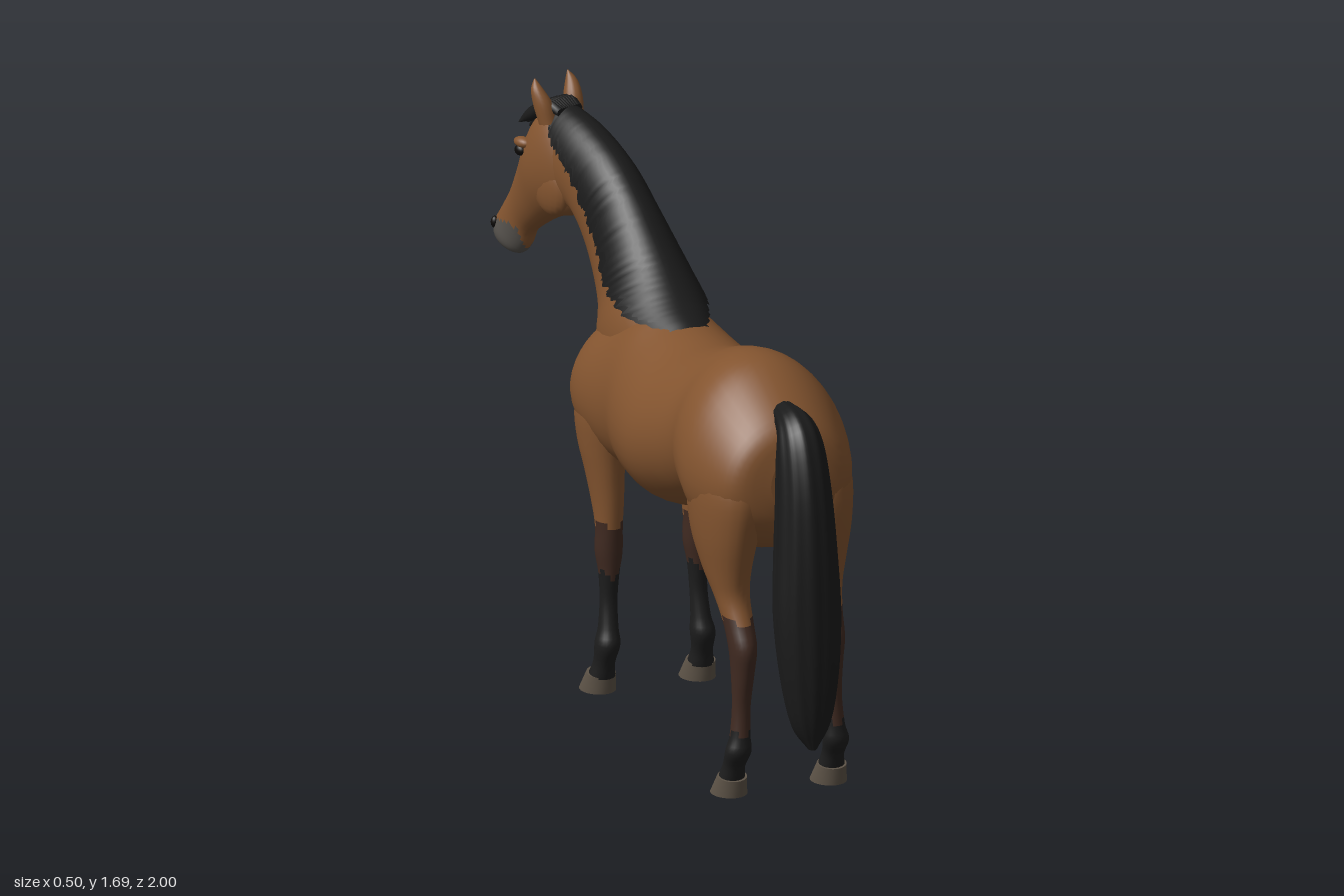
import * as THREE from 'three';

const mat = (name, color, side = THREE.FrontSide) => {
  const m = new THREE.MeshStandardMaterial({ color, side });
  m.name = name;
  return m;
};

// Smooth loft through sections [z1, y1, z2, y2, halfWidth, centreX].
// (z1,y1) and (z2,y2) are the two ends of an ellipse axis; the other axis lies along x.
function loft(name, sections, mats, o = {}) {
  const { seg = 24, steps = 4, egg = 0, ridge = 0, ridges = 11, offset = 0, span = null, paint = () => 0 } = o;
  const a = new THREE.CatmullRomCurve3(sections.map(s => new THREE.Vector3(s[5] || 0, s[1], s[0])), false, 'catmullrom');
  const b = new THREE.CatmullRomCurve3(sections.map(s => new THREE.Vector3(s[4], s[3], s[2])), false, 'catmullrom');
  const rows = (sections.length - 1) * steps, cols = span ? seg + 1 : seg;
  const pos = [], lists = mats.map(() => []), centres = [];
  for (let i = 0; i <= rows; i++) {
    const p = a.getPoint(i / rows), q = b.getPoint(i / rows);
    const c = new THREE.Vector3(p.x, (p.y + q.y) / 2, (p.z + q.z) / 2);
    const ay = (p.y - q.y) / 2, az = (p.z - q.z) / 2, len = Math.hypot(ay, az) || 1;
    const w = Math.max(q.x, 0.001);
    centres.push({ c, ay, az });
    for (let j = 0; j < cols; j++) {
      const t = span ? Math.PI / 2 + (j / seg * 2 - 1) * span(i / rows, i, j > seg / 2) : j / seg * Math.PI * 2;
      const r = 1 + ridge * Math.cos(t * ridges), s = Math.sin(t) * r, k = Math.cos(t) * r;
      const h = s * (1 + offset / len);
      pos.push(c.x + (w + offset) * k * (1 - egg * s), c.y + ay * h, c.z + az * h);
    }
  }
  // Pick the winding so faces point outwards
  const m = Math.floor(rows / 2), A = centres[m], P = centres[m + 1] || centres[m];
  const Q = centres[Math.max(m - 1, 0)];
  const flip = -A.az * (P.c.y - Q.c.y) + A.ay * (P.c.z - Q.c.z) < 0;
  const tri = (l, x, y, z) => flip ? l.push(x, z, y) : l.push(x, y, z);
  for (let i = 0; i < rows; i++) for (let j = 0; j < seg; j++) {
    const p = i * cols + j, q = i * cols + (span ? j + 1 : (j + 1) % seg), d = p + cols, e = q + cols;
    const mid = n => (pos[p * 3 + n] + pos[e * 3 + n]) / 2;
    const l = lists[paint(mid(0), mid(1), mid(2), (j + 0.5) / seg * Math.PI * 2)];
    tri(l, p, q, d);
    tri(l, q, e, d);
  }
  // Flat end caps
  if (!span) for (const i of [0, rows]) {
    const { c } = centres[i], base = pos.length / 3;
    pos.push(c.x, c.y, c.z);
    for (let j = 0; j < seg; j++) pos.push(...pos.slice((i * cols + j) * 3, (i * cols + j) * 3 + 3));
    const l = lists[paint(c.x, c.y, c.z, 0)];
    for (let j = 0; j < seg; j++) {
      const x = base + 1 + j, y = base + 1 + (j + 1) % seg;
      i ? tri(l, base, x, y) : tri(l, base, y, x);
    }
  }
  const g = new THREE.BufferGeometry();
  g.setAttribute('position', new THREE.Float32BufferAttribute(pos, 3));
  g.setIndex(lists.flat());
  let start = 0;
  lists.forEach((l, n) => { if (l.length) g.addGroup(start, l.length, n); start += l.length; });
  g.computeVertexNormals();
  const mesh = new THREE.Mesh(g, mats.length > 1 ? mats : mats[0]);
  mesh.name = name;
  return mesh;
}

function blob(name, material, x, y, z, sx, sy, sz) {
  const m = new THREE.Mesh(new THREE.SphereGeometry(1, 18, 12), material);
  m.name = name;
  m.position.set(x, y, z);
  m.scale.set(sx, sy, sz);
  return m;
}

export function createModel() {
  const coat = mat('bay coat', 0x83542f), dark = mat('dark brown', 0x402a21), black = mat('black points', 0x1d1d1d);
  const hair = mat('black hair', 0x1a1a1a, THREE.DoubleSide), horn = mat('hoof horn', 0x5d5347);
  const grey = mat('muzzle grey', 0x55514c), eye = mat('eye', 0x0d0a08);
  const horse = new THREE.Group();
  horse.name = 'horse';
  let seed = 7;
  const rand = () => (seed = (seed * 16807) % 2147483647) / 2147483647;

  // Barrel, rump and chest
  horse.add(loft('body', [
    [0.812, 1.03, 0.812, 0.87, 0.07], [0.79, 1.10, 0.79, 0.80, 0.165], [0.72, 1.165, 0.72, 0.73, 0.215],
    [0.6, 1.235, 0.6, 0.70, 0.248], [0.5, 1.25, 0.5, 0.74, 0.24], [0.4, 1.23, 0.4, 0.755, 0.215],
    [0.3, 1.195, 0.3, 0.72, 0.232], [0.15, 1.16, 0.15, 0.675, 0.248], [0, 1.17, 0, 0.665, 0.233],
    [-0.12, 1.19, -0.12, 0.67, 0.21], [-0.22, 1.16, -0.22, 0.67, 0.213], [-0.32, 1.13, -0.32, 0.69, 0.218],
    [-0.4, 1.08, -0.4, 0.73, 0.195], [-0.455, 1.0, -0.455, 0.79, 0.135], [-0.475, 0.95, -0.475, 0.86, 0.06],
  ], [coat], { seg: 40, egg: 0.1 }));
  horse.add(blob('groin', black, 0, 0.755, 0.5, 0.035, 0.03, 0.07));

  // Neck, bending towards the right
  const neck = [
    [0.02, 1.16, -0.38, 0.78, 0.14, 0], [-0.1, 1.215, -0.46, 0.93, 0.148, 0], [-0.22, 1.30, -0.485, 1.04, 0.12, 0],
    [-0.35, 1.42, -0.535, 1.14, 0.095, -0.015], [-0.47, 1.51, -0.58, 1.23, 0.085, -0.032],
    [-0.6, 1.57, -0.62, 1.30, 0.078, -0.055], [-0.7, 1.595, -0.68, 1.33, 0.07, -0.075], [-0.745, 1.6, -0.73, 1.42, 0.05, -0.085],
  ];
  horse.add(loft('neck', neck, [coat], { seg: 32 }));

  // Mane: ragged sheets lying over the crest and both sides of the neck
  const fall = [25, 58, 80, 84, 82, 78, 60, 40];
  const maneSpan = rough => u => {
    const f = Math.min(u * 7, 6.999), i = Math.floor(f);
    return THREE.MathUtils.degToRad(THREE.MathUtils.lerp(fall[i], fall[i + 1], f - i)) * rough();
  };
  for (const [offset, low, high] of [[0.012, 0.86, 1.0], [0.02, 0.7, 0.95]]) {
    const jag = Array.from({ length: 100 }, () => low + (high - low) * rand());
    const smooth = maneSpan(() => 1);
    horse.add(loft('mane', neck, [hair], {
      seg: 20, steps: 12, offset, span: (u, i, left) => smooth(u) * jag[left ? i : 99 - i],
    }));
  }

  // Head, built facing forward and turned at the poll
  const head = new THREE.Group();
  head.name = 'head';
  head.position.set(-0.07, 0, -0.68);
  head.rotation.y = 0.32;
  horse.add(head);
  const hz = z => (z + 0.68) / 0.95;
  const local = list => list.map(([a, b, c, d, w, x]) => [hz(a), b, hz(c), d, w, x]);
  head.add(loft('skull', local([
    [-0.68, 1.58, -0.63, 1.38, 0.045], [-0.74, 1.61, -0.635, 1.325, 0.072], [-0.80, 1.58, -0.675, 1.295, 0.085],
    [-0.845, 1.51, -0.735, 1.275, 0.083], [-0.88, 1.42, -0.80, 1.235, 0.065], [-0.925, 1.32, -0.85, 1.195, 0.05],
    [-0.968, 1.25, -0.87, 1.15, 0.047], [-0.992, 1.21, -0.90, 1.12, 0.048], [-0.998, 1.18, -0.94, 1.125, 0.034],
    [-0.99, 1.165, -0.96, 1.145, 0.012],
  ]), [coat, grey], { seg: 28, paint: (x, y, z) => y < 1.215 && z < hz(-0.875) ? 1 : 0 }));
  for (const s of [-1, 1]) {
    head.add(blob('eye', eye, s * 0.068, 1.462, hz(-0.833), 0.012, 0.016, 0.019));
    head.add(blob('browRidge', coat, s * 0.06, 1.485, hz(-0.83), 0.02, 0.016, 0.032));
    head.add(blob('cheek', coat, s * 0.052, 1.375, hz(-0.72), 0.03, 0.08, 0.075));
    head.add(blob('nostril', eye, s * 0.034, 1.2, hz(-0.975), 0.012, 0.018, 0.012));
    head.add(loft('ear', [
      [-0.085, 1.56, -0.03, 1.57, 0.028, s * 0.048], [-0.102, 1.615, -0.045, 1.625, 0.027, s * 0.056],
      [-0.108, 1.66, -0.072, 1.665, 0.017, s * 0.064], [-0.105, 1.69, -0.1, 1.69, 0.002, s * 0.062],
    ], [coat, dark], { seg: 16, paint: (x, y, z, t) => Math.sin(t) > 0.75 && y > 1.6 ? 1 : 0 }));
  }
  // Forelock strands
  for (let i = -4; i <= 4; i++) {
    const x = i * 0.013, drop = rand() * 0.05 + Math.abs(i) * 0.006;
    head.add(loft('forelock', local([
      [-0.70, 1.615, -0.70, 1.59, 0.016, x * 0.6], [-0.75, 1.632, -0.745, 1.595, 0.016, x * 0.8],
      [-0.815, 1.59, -0.79, 1.565, 0.014, x], [-0.868 + drop * 0.4, 1.48 + drop, -0.858 + drop * 0.4, 1.48 + drop, 0.003, x * 1.25],
    ]), [hair], { seg: 8 }));
  }

  // Legs with dark points, and hooves
  const front = [
    [-0.41, 0.95, -0.14, 0.95, 0.075, 0.115], [-0.42, 0.84, -0.17, 0.84, 0.08, 0.132], [-0.395, 0.75, -0.195, 0.74, 0.068, 0.14],
    [-0.36, 0.67, -0.205, 0.66, 0.055, 0.14], [-0.33, 0.58, -0.21, 0.58, 0.046, 0.136], [-0.305, 0.5, -0.215, 0.5, 0.039, 0.135],
    [-0.304, 0.43, -0.22, 0.42, 0.04, 0.135], [-0.29, 0.36, -0.225, 0.36, 0.03, 0.136], [-0.28, 0.28, -0.23, 0.28, 0.026, 0.138],
    [-0.28, 0.2, -0.215, 0.2, 0.029, 0.142], [-0.285, 0.16, -0.2, 0.15, 0.036, 0.146], [-0.29, 0.1, -0.225, 0.09, 0.031, 0.15],
    [-0.31, 0.055, -0.235, 0.045, 0.04, 0.152],
  ];
  const hind = [
    [0.43, 1.0, 0.77, 1.0, 0.1, 0.12], [0.45, 0.88, 0.8, 0.9, 0.105, 0.13], [0.49, 0.76, 0.785, 0.78, 0.088, 0.142],
    [0.555, 0.67, 0.757, 0.66, 0.066, 0.145], [0.62, 0.6, 0.752, 0.59, 0.051, 0.142], [0.665, 0.53, 0.78, 0.52, 0.043, 0.137],
    [0.70, 0.45, 0.81, 0.455, 0.039, 0.135], [0.715, 0.38, 0.8, 0.38, 0.033, 0.136], [0.73, 0.28, 0.785, 0.28, 0.027, 0.14],
    [0.73, 0.19, 0.79, 0.19, 0.03, 0.145], [0.725, 0.15, 0.795, 0.14, 0.038, 0.15], [0.70, 0.10, 0.765, 0.09, 0.032, 0.152],
    [0.68, 0.055, 0.75, 0.045, 0.04, 0.153],
  ];
  const stocking = (top, low) => (x, y, z, t) => {
    const e = y + 0.015 * Math.sin(t * 3);
    return e > top ? 0 : e > low ? 1 : 2;
  };
  for (const s of [-1, 1]) {
    const side = list => list.map(p => [...p.slice(0, 5), p[5] * s]);
    horse.add(loft('frontLeg', side(front), [coat, dark, black], { paint: stocking(0.51, 0.36) }));
    horse.add(loft('hindLeg', side(hind), [coat, dark, black], { paint: stocking(0.53, 0.2) }));
    for (const z of [0, 0.995]) {
      horse.add(loft('hoof', side([
        [-0.312 + z, 0.066, -0.236 + z, 0.05, 0.043, 0.153], [-0.362 + z, 0, -0.24 + z, 0, 0.052, 0.153],
      ]), [horn], { steps: 3 }));
    }
  }

  // Tail with shallow strand ridges
  horse.add(loft('tail', [
    [0.74, 1.17, 0.74, 1.1, 0.035], [0.84, 1.165, 0.80, 1.06, 0.055], [0.915, 1.11, 0.80, 0.98, 0.07],
    [0.965, 0.98, 0.8, 0.86, 0.08], [0.99, 0.8, 0.805, 0.74, 0.09], [1.0, 0.6, 0.825, 0.58, 0.098],
    [1.0, 0.42, 0.86, 0.40, 0.086], [0.988, 0.28, 0.9, 0.25, 0.058], [0.965, 0.19, 0.935, 0.19, 0.012],
  ], [hair], { seg: 66, ridge: 0.02 }));

  return horse;
}
